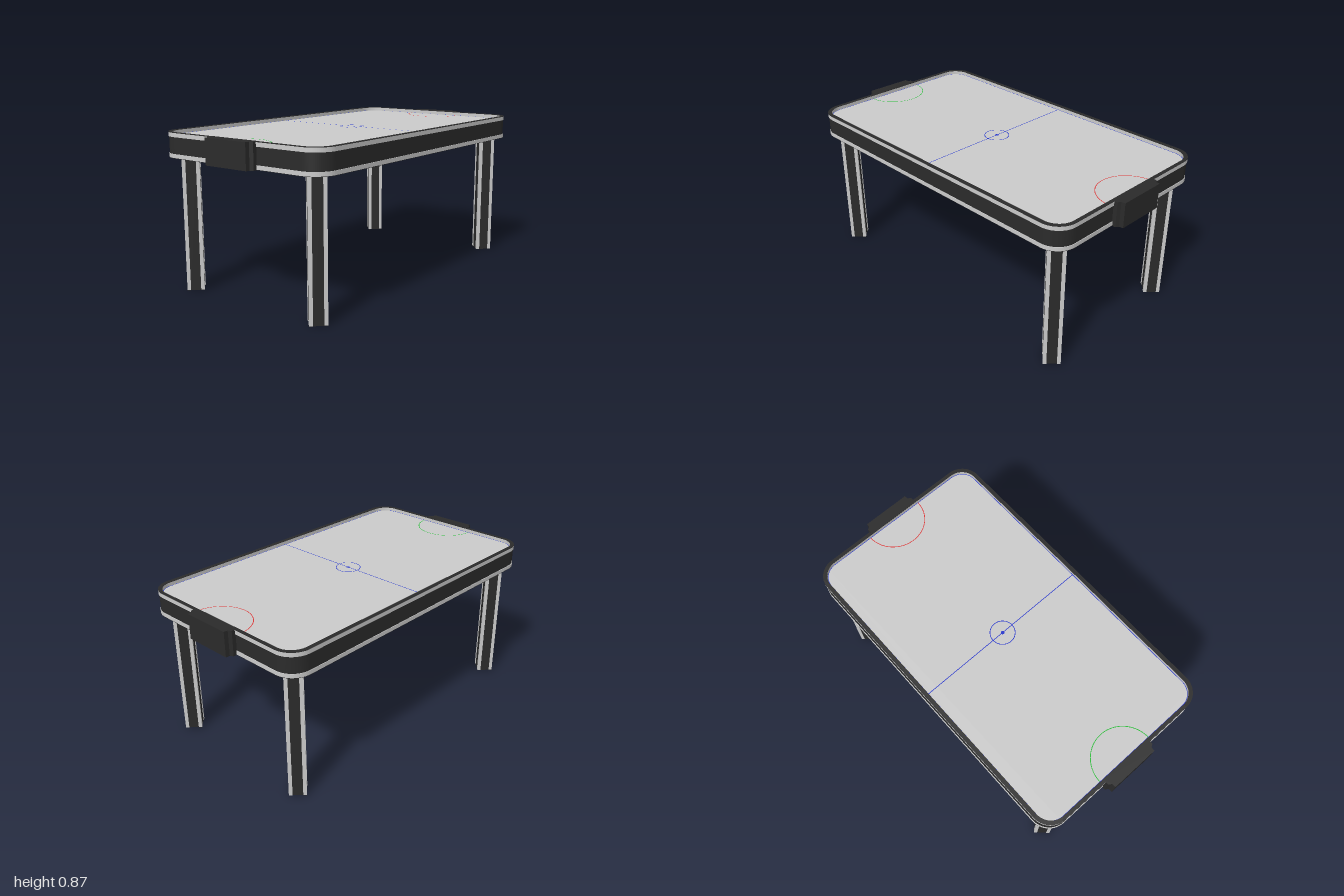
import * as THREE from 'three';

const mat = (color, extra = {}) => new THREE.MeshStandardMaterial({ color, ...extra });
const grey = mat(0xcccccc);
const dark = mat(0x2b2b2b);
const blue = mat(0x2233cc);
const green = mat(0x22bb33);
const red = mat(0xdd3333);

const TOP = 0.865, BOTTOM = 0.73, PLAY = 0.842;

// Rounded rectangle with half sizes hx, hz
function roundRect(hx, hz, r, Type = THREE.Shape) {
  const s = new Type();
  s.absarc(hx - r, hz - r, r, 0, Math.PI / 2);
  s.absarc(-hx + r, hz - r, r, Math.PI / 2, Math.PI);
  s.absarc(-hx + r, -hz + r, r, Math.PI, Math.PI * 1.5);
  s.absarc(hx - r, -hz + r, r, Math.PI * 1.5, Math.PI * 2);
  s.closePath();
  return s;
}

function withHole(shape, hole) {
  shape.holes.push(hole);
  return shape;
}

// Upright prism of a floor-plan shape between two heights
function slab(name, shape, y0, y1, material) {
  const geo = new THREE.ExtrudeGeometry(shape, { depth: y1 - y0, bevelEnabled: false, curveSegments: 10 });
  geo.rotateX(-Math.PI / 2);
  const mesh = new THREE.Mesh(geo, material);
  mesh.position.y = y0;
  mesh.name = name;
  return mesh;
}

// Flat marking lying just above the playing surface
function marking(name, geo, material, x = 0) {
  const mesh = new THREE.Mesh(geo, material);
  mesh.rotation.x = -Math.PI / 2;
  mesh.position.set(x, PLAY + 0.0015, 0);
  mesh.name = name;
  return mesh;
}

// Square leg turned 45 degrees, with a dark recessed strip on each face
function makeLeg() {
  const leg = new THREE.Group();
  const h = 0.046, strip = 0.027, inset = 0.004;
  const outline = [];
  for (let i = 0; i < 4; i++) {
    const c = new THREE.Vector2(), a = i * Math.PI / 2;
    for (const [x, y] of [[h, -h], [h, -strip], [h - inset, -strip], [h - inset, strip], [h, strip]]) {
      outline.push(new THREE.Vector2(x, y).rotateAround(c, a));
    }
    const panel = new THREE.Mesh(new THREE.BoxGeometry(0.004, BOTTOM - 0.002, strip * 2), dark);
    panel.position.set(Math.cos(a) * (h - inset), BOTTOM / 2, Math.sin(a) * (h - inset));
    panel.rotation.y = -a;
    panel.name = 'legStrip';
    leg.add(panel);
  }
  leg.add(slab('legPost', new THREE.Shape(outline), 0.002, BOTTOM, grey));
  leg.add(slab('legCap', new THREE.Shape(outline), 0, 0.002, dark));
  leg.rotation.y = Math.PI / 4;
  return leg;
}

export function createModel() {
  const table = new THREE.Group();
  table.name = 'airHockeyTable';

  // Cabinet, light trims and dark rim
  const hole = () => roundRect(0.93, 0.522, 0.095, THREE.Path);
  const outer = () => roundRect(0.95, 0.545, 0.115);
  table.add(
    slab('underside', outer(), BOTTOM, BOTTOM + 0.002, dark),
    slab('lowerTrim', outer(), BOTTOM + 0.002, 0.753, grey),
    slab('sideBand', roundRect(0.947, 0.542, 0.112), 0.753, PLAY - 0.001, dark),
    slab('upperTrim', withHole(outer(), hole()), PLAY - 0.001, TOP - 0.002, grey),
    slab('rimTop', withHole(outer(), hole()), TOP - 0.002, TOP, dark),
    slab('playingSurface', roundRect(0.935, 0.527, 0.1), PLAY - 0.01, PLAY, grey)
  );

  // Painted lines
  const border = withHole(roundRect(0.93, 0.522, 0.095), roundRect(0.927, 0.519, 0.092, THREE.Path));
  table.add(
    marking('borderLine', new THREE.ShapeGeometry(border, 10), blue),
    marking('centreLine', new THREE.PlaneGeometry(0.004, 1.04), blue),
    marking('centreCircle', new THREE.RingGeometry(0.066, 0.07, 48), blue),
    marking('centreSpot', new THREE.CircleGeometry(0.01, 20), blue),
    marking('leftGoalArc', new THREE.RingGeometry(0.171, 0.175, 40, 1, Math.PI / 2, Math.PI), red, 0.929),
    marking('rightGoalArc', new THREE.RingGeometry(0.171, 0.175, 40, 1, -Math.PI / 2, Math.PI), green, -0.929)
  );

  // Stepped goal boxes at both ends
  const half = [[0.932, 0.157], [0.968, 0.157], [0.978, 0.14], [1, 0.138]];
  const plan = [...half, ...half.map(([x, z]) => [x, -z]).reverse()].map(p => new THREE.Vector2(...p));
  for (const side of [1, -1]) {
    const goal = slab(side > 0 ? 'leftGoalBox' : 'rightGoalBox', new THREE.Shape(plan), BOTTOM - 0.001, TOP + 0.001, dark);
    goal.rotation.y = side > 0 ? 0 : Math.PI;
    table.add(goal);
  }

  // Four legs
  for (const x of [-1, 1]) for (const z of [-1, 1]) {
    const leg = makeLeg();
    leg.name = (z > 0 ? 'front' : 'back') + (x > 0 ? 'Left' : 'Right') + 'Leg';
    leg.position.set(x * 0.84, 0, z * 0.432);
    table.add(leg);
  }
  return table;
}
